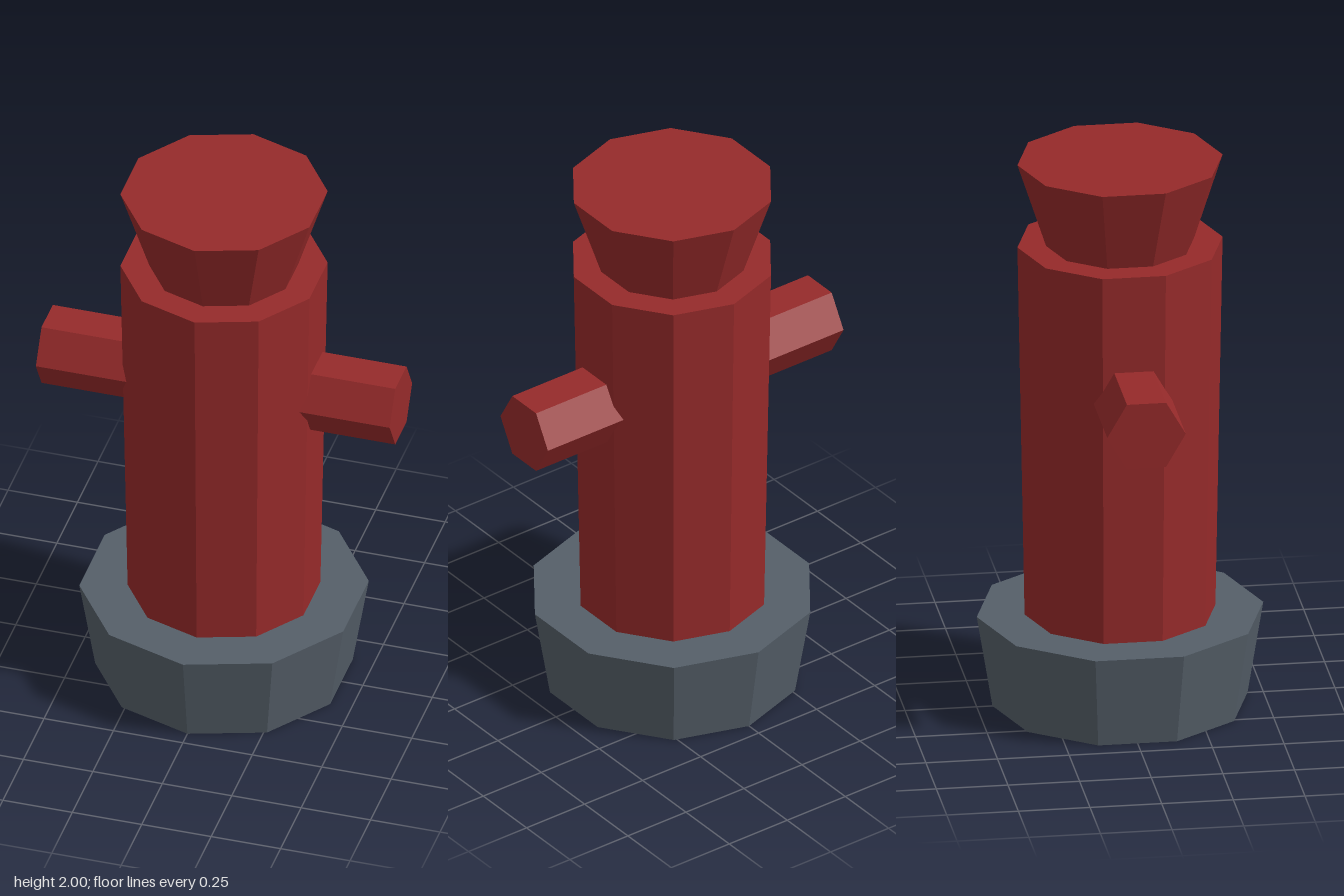
import * as THREE from 'three';

export function createModel() {
  const group = new THREE.Group();
  const red = new THREE.MeshStandardMaterial({ color: 0x962a2a, flatShading: true });
  const grey = new THREE.MeshStandardMaterial({ color: 0x555f69, flatShading: true });

  // Ten-sided tapered drum standing between two heights
  function drum(name, rBottom, rTop, y0, y1, material) {
    const mesh = new THREE.Mesh(new THREE.CylinderGeometry(rTop, rBottom, y1 - y0, 10), material);
    mesh.name = name;
    mesh.position.y = (y0 + y1) / 2;
    group.add(mesh);
  }

  drum('base', 0.445, 0.5, 0, 0.333, grey);
  drum('body', 0.333, 0.358, 0.333, 1.695, red);
  drum('cap', 0.258, 0.358, 1.695, 2, red);

  // Hexagonal pipe running through the body, forming both side outlets
  const outlets = new THREE.Mesh(new THREE.CylinderGeometry(0.137, 0.137, 1.274, 6), red);
  outlets.name = 'sideOutlets';
  outlets.rotation.z = Math.PI / 2;
  outlets.position.y = 1.223;
  group.add(outlets);

  return group;
}
